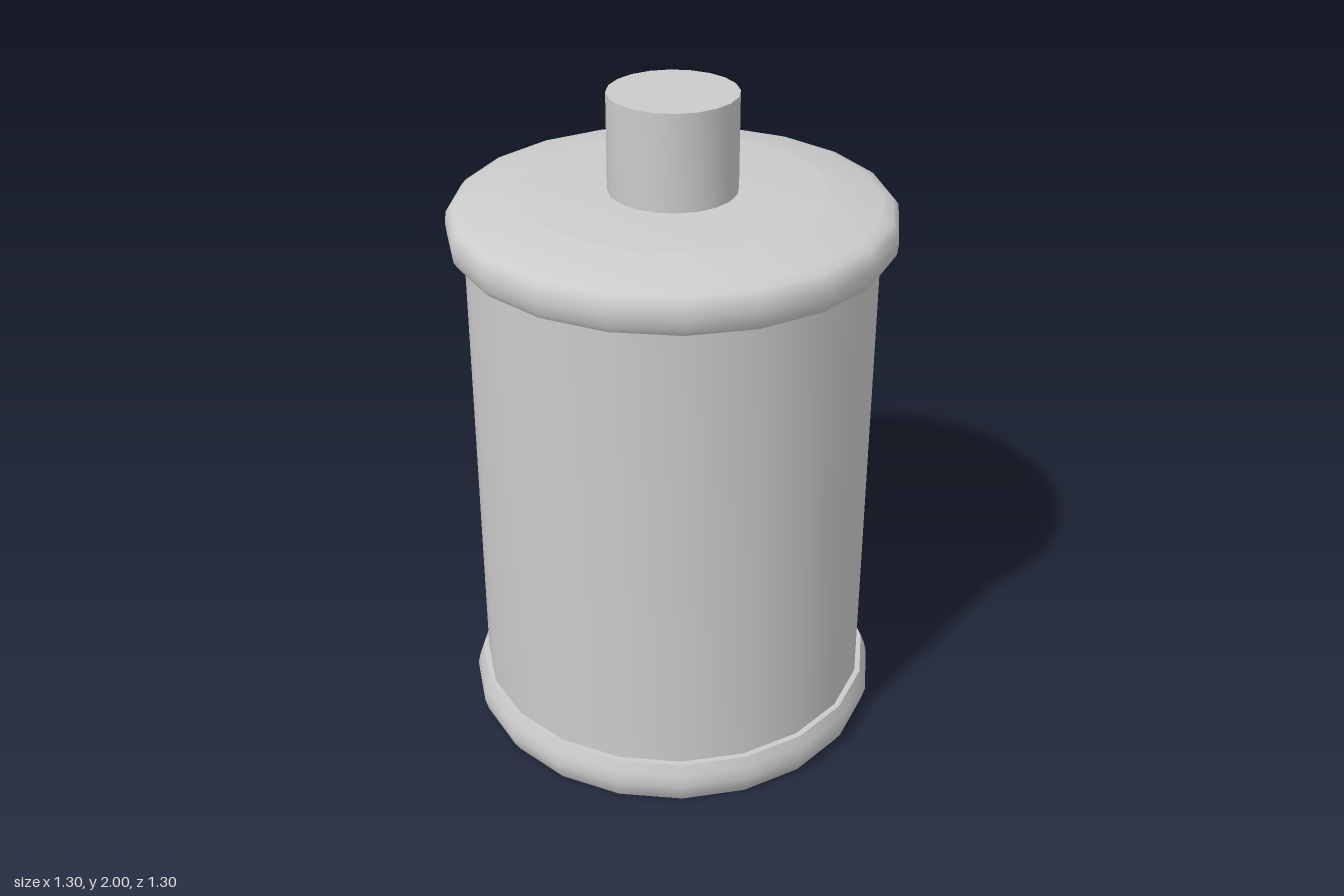
import * as THREE from 'three';
import { toCreasedNormals } from 'three/addons/utils/BufferGeometryUtils.js';

const SIDES = 20;

export function createModel() {
  const group = new THREE.Group();
  group.name = 'canister';
  const material = new THREE.MeshStandardMaterial({ color: 0xcccccc });

  // Turned part from [radius, height] points, listed bottom to top
  function turned(name, profile) {
    const points = profile.map(([r, y]) => new THREE.Vector2(r, y));
    const geometry = toCreasedNormals(new THREE.LatheGeometry(points, SIDES), 0.75);
    const mesh = new THREE.Mesh(geometry, material);
    mesh.name = name;
    group.add(mesh);
  }

  // Bulging foot ring with a closed underside
  turned('base', [
    [0, 0], [0.612, 0], [0.627, 0.025], [0.638, 0.065], [0.63, 0.1], [0.617, 0.133], [0, 0.133],
  ]);

  // Straight barrel
  turned('body', [[0.6, 0.12], [0.6, 1.58]]);

  // Rounded lid: rolled rim, shallow slope, flat centre
  turned('lid', [
    [0, 1.565], [0.632, 1.565], [0.645, 1.585], [0.649, 1.62], [0.645, 1.655],
    [0.63, 1.674], [0.6, 1.685], [0.45, 1.714], [0.44, 1.715], [0, 1.715],
  ]);

  // Short post on top
  turned('post', [[0.187, 1.7], [0.187, 2], [0, 2]]);

  return group;
}
